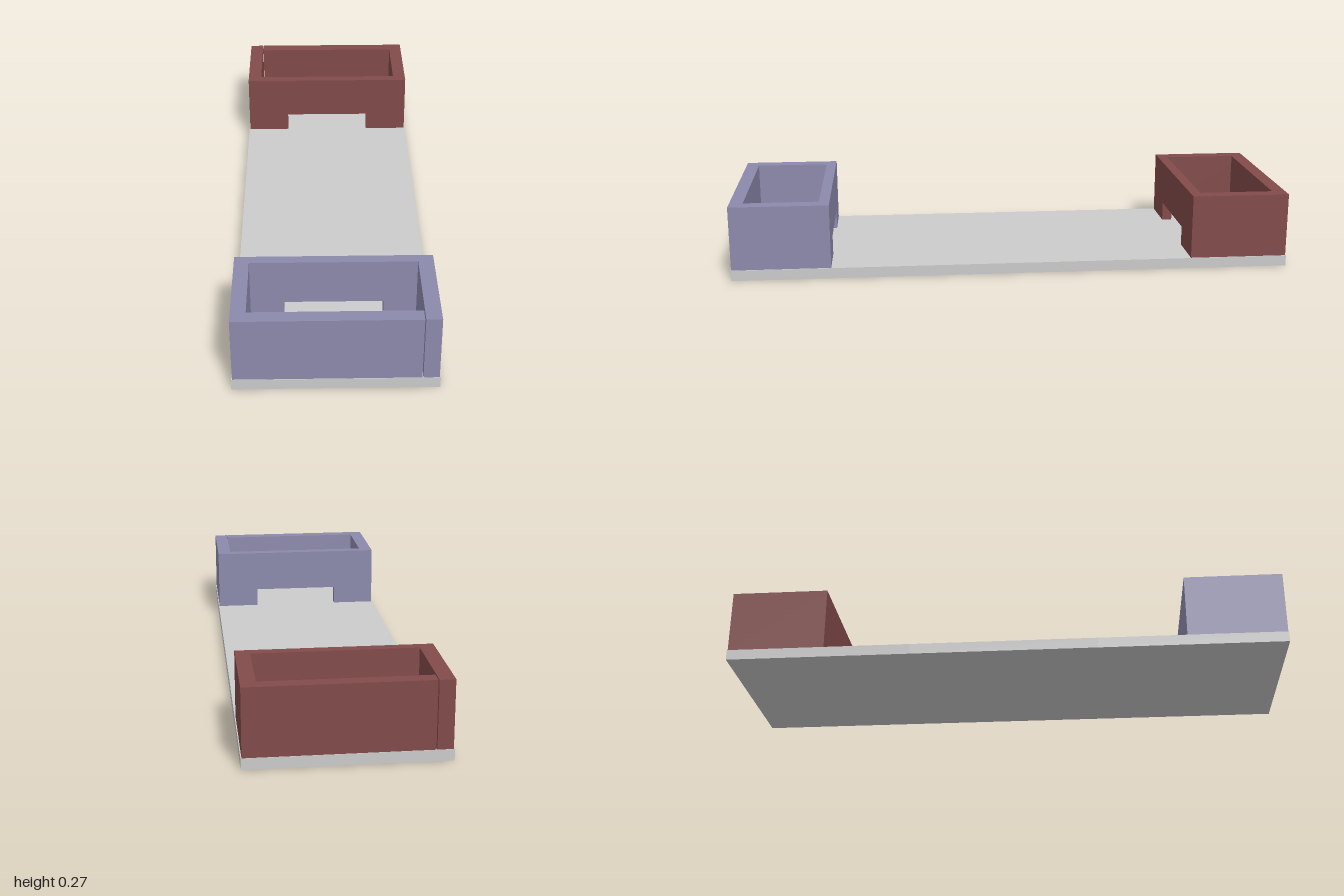
import * as THREE from 'three';

const BOARD_TOP = 0.038, WALL_H = 0.23;
const HALF_W = 0.33, IN_X0 = -0.28, IN_X1 = 0.277;      // outer and inner sides of a tray
const Z_IN0 = 0.648, Z_IN1 = 0.685, Z_OUT0 = 0.95, Z_OUT1 = 0.998;

const material = (color) => new THREE.MeshStandardMaterial({ color, flatShading: true });

// Box given by its limits on each axis
function block(name, mat, x0, x1, y0, y1, z0, z1) {
  const mesh = new THREE.Mesh(new THREE.BoxGeometry(x1 - x0, y1 - y0, z1 - z0), mat);
  mesh.position.set((x0 + x1) / 2, (y0 + y1) / 2, (z0 + z1) / 2);
  mesh.name = name;
  return mesh;
}

// Open rectangular enclosure at the +z end
function enclosure(name, color) {
  const group = new THREE.Group();
  group.name = name;
  const mat = material(color);
  const y0 = BOARD_TOP, y1 = BOARD_TOP + WALL_H;

  group.add(block('leftWall', mat, 0.278, HALF_W, y0, y1, Z_IN0, Z_OUT1));
  group.add(block('rightWall', mat, -HALF_W, IN_X0, y0, y1, Z_IN0, Z_OUT1));
  // Outer wall stops just short of the left wall, leaving a narrow slit
  group.add(block('outerWall', mat, IN_X0, 0.275, y0, y1, Z_OUT0, Z_OUT1));

  // Inner wall with a doorway notch at the bottom
  const n = 0.167, h = 0.07;
  const outline = [[IN_X0, 0], [-n, 0], [-n, h], [n, h], [n, 0], [0.278, 0], [0.278, WALL_H], [IN_X0, WALL_H]];
  const shape = new THREE.Shape(outline.map(([x, y]) => new THREE.Vector2(x, y)));
  const inner = new THREE.Mesh(
    new THREE.ExtrudeGeometry(shape, { depth: Z_IN1 - Z_IN0, bevelEnabled: false }), mat);
  inner.position.set(0, y0, Z_IN0);
  inner.name = 'notchedInnerWall';
  group.add(inner);
  return group;
}

export function createModel() {
  const model = new THREE.Group();
  model.name = 'boardWithTwoEnclosures';

  // Base: three square tiles in a row
  const grey = material(0xcccccc);
  ['backTile', 'middleTile', 'frontTile'].forEach((name, i) => {
    const z = -1 + i * 2 / 3;
    model.add(block(name, grey, -1 / 3, 1 / 3, 0, BOARD_TOP, z, z + 2 / 3));
  });

  // Matching enclosures, the rear one turned half a circle
  model.add(enclosure('frontEnclosure', 0x8c8aac));
  const rear = enclosure('rearEnclosure', 0x824a4a);
  rear.rotation.y = Math.PI;
  model.add(rear);
  return model;
}
